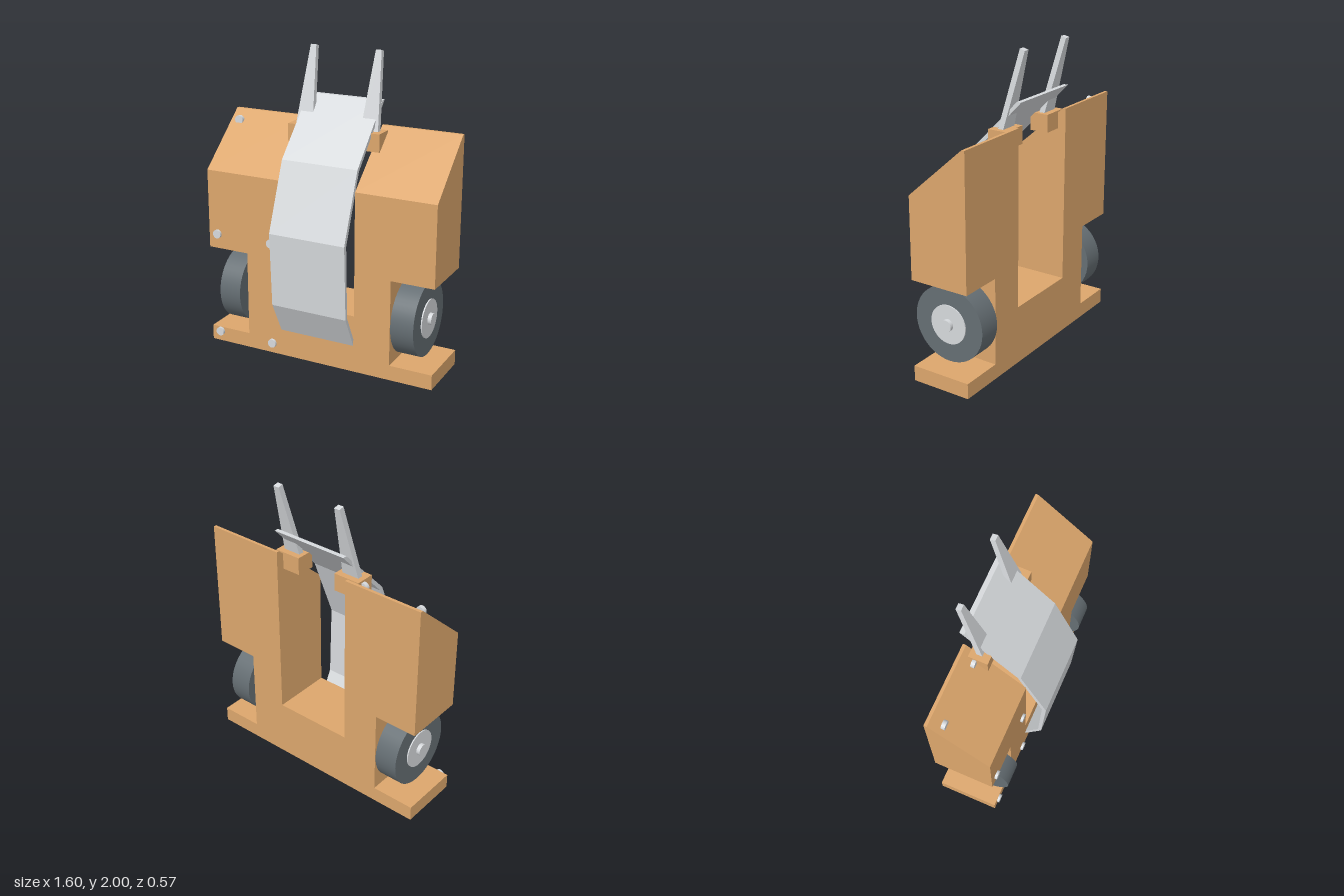
import * as THREE from 'three';

export function createModel() {
  const model = new THREE.Group();
  model.name = 'wedgeRobot';

  const mat = (name, color) => {
    const m = new THREE.MeshStandardMaterial({ color });
    m.name = name;
    return m;
  };
  const wood = mat('wood', 0xdca66c);
  const metal = mat('metal', 0xd6d9dc);
  const rubber = mat('rubber', 0x656e73);

  const add = (name, geometry, material, x = 0, y = 0, z = 0, parent = model) => {
    const mesh = new THREE.Mesh(geometry, material);
    mesh.name = name;
    mesh.position.set(x, y, z);
    parent.add(mesh);
    return mesh;
  };
  const shapeOf = (pts) => new THREE.Shape(pts.map(([a, b]) => new THREE.Vector2(a, b)));
  const extrude = (pts, depth) =>
    new THREE.ExtrudeGeometry(shapeOf(pts), { depth, bevelEnabled: false });
  // Side profile given as [z, y], extruded along x from x0 to x1
  const sideExtrude = (pts, x0, x1) =>
    extrude(pts.map(([z, y]) => [-z, y]), x1 - x0).rotateY(Math.PI / 2).translate(x0, 0, 0);

  // Lower body: floor plank, waist between the wheels, bottom of the central slot
  const half = [[0.8, 0], [0.8, 0.1], [0.512, 0.1], [0.512, 0.67], [0.265, 0.67], [0.265, 0.385]];
  const mirrored = half.map(([x, y]) => [-x, y]).reverse();
  add('lowerBody', extrude([...half, ...mirrored], 0.4), wood, 0, 0, -0.25);

  // Upper towers with sloped front, one on each side of the slot
  const towerProfile = [[0.15, 0.67], [0.15, 1.2], [-0.23, 1.535], [-0.25, 1.535], [-0.25, 0.67]];
  add('leftTower', sideExtrude(towerProfile, 0.265, 0.8), wood);
  add('rightTower', sideExtrude(towerProfile, -0.8, -0.265), wood);

  // Bent front plate
  const plate = [
    [0.15, 0.18], [0.262, 0.4], [0.286, 0.89], [0.113, 1.328], [-0.235, 1.69],
    [-0.265, 1.69], [0.093, 1.312], [0.258, 0.885], [0.24, 0.405], [0.15, 0.228],
  ];
  add('frontPlate', sideExtrude(plate, -0.262, 0.262), metal);

  // Short cylinders along z (bolts) and along x (wheel parts)
  const bolt = (name, x, y, z, depth = 0.025) =>
    add(name, new THREE.CylinderGeometry(0.029, 0.029, depth, 24).rotateX(Math.PI / 2), metal, x, y, z);
  const disc = (name, radius, x0, x1, material, parent) =>
    add(name, new THREE.CylinderGeometry(radius, radius, x1 - x0, 48).rotateZ(Math.PI / 2),
      material, (x0 + x1) / 2, 0, 0, parent);

  for (const x of [-0.735, -0.33]) {
    bolt('lowerBolt', x, 0.07, 0.154);
    bolt('middleBolt', x, 0.77, 0.154);
    bolt('upperBolt', x, 1.475, -0.153);
  }

  for (const s of [1, -1]) {
    const side = s > 0 ? 'left' : 'right';

    // Wheel with hub and axle
    const wheel = new THREE.Group();
    wheel.name = side + 'Wheel';
    wheel.position.set(0, 0.387, -0.037);
    wheel.rotation.y = s > 0 ? 0 : Math.PI;
    model.add(wheel);
    disc('tire', 0.245, 0.54, 0.692, rubber, wheel);
    disc('hub', 0.126, 0.528, 0.7, metal, wheel);
    disc('axle', 0.038, 0.505, 0.725, metal, wheel);

    // Bracket holding the plate and the prong
    add(side + 'Bracket', new THREE.BoxGeometry(0.18, 0.115, 0.125), wood, s * 0.23, 1.4575, -0.1325);
    bolt(side + 'BracketBolt', s * 0.2, 1.447, -0.062);

    // Tapered prong leaning backwards
    const prong = new THREE.BoxGeometry(1, 1, 1);
    const p = prong.attributes.position;
    for (let i = 0; i < p.count; i++) {
      const top = p.getY(i) > 0;
      const front = p.getZ(i) > 0;
      const outer = p.getX(i) * s > 0;
      const x = top ? (outer ? 0.246 : 0.207) : (outer ? 0.287 : 0.168);
      const z = top ? (front ? -0.243 : -0.277) : (front ? -0.118 : -0.155);
      p.setXYZ(i, s * x, top ? (front ? 2 : 1.99) : 1.513, z);
    }
    const flat = prong.toNonIndexed();
    flat.computeVertexNormals();
    add(side + 'Prong', flat, metal);
  }

  return model;
}
